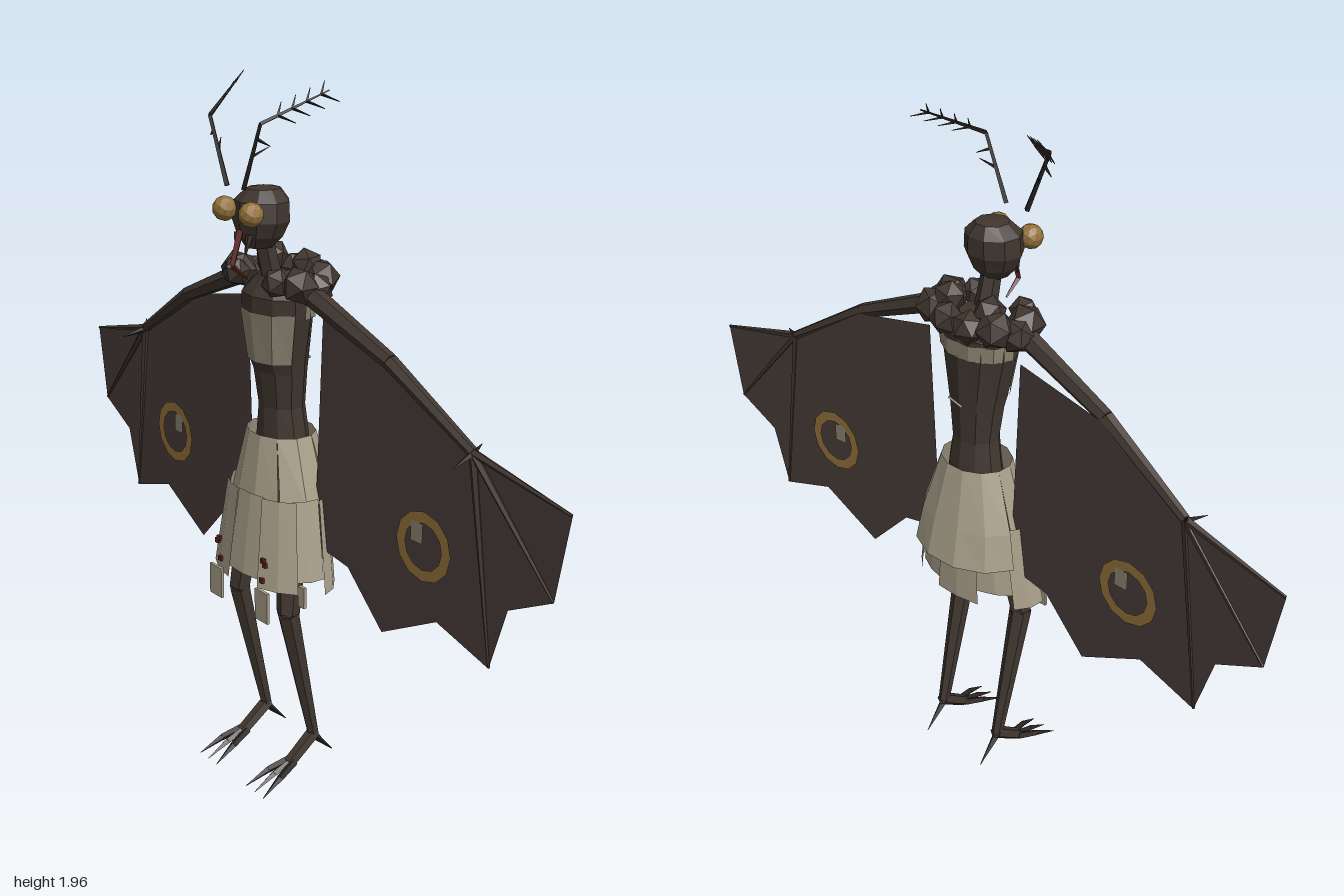
import * as THREE from 'three';

const mat = (name, color, side = THREE.FrontSide) => {
  const m = new THREE.MeshStandardMaterial({ color, flatShading: true, side });
  m.name = name;
  return m;
};
const V = (x, y, z) => new THREE.Vector3(x, y, z);
const UP = V(0, 1, 0);

export function createModel() {
  const hide = mat('dark hide', 0x40362f);
  const membrane = mat('wing membrane', 0x483d39, THREE.DoubleSide);
  const cloth = mat('ragged cloth', 0xa89f89, THREE.DoubleSide);
  const fur = mat('pale chest', 0x8b8472, THREE.DoubleSide);
  const gold = mat('gold', 0x94713a, THREE.DoubleSide);
  const claw = mat('claw', 0x2a2320);
  const red = mat('dark red', 0x5c221c, THREE.DoubleSide);

  const model = new THREE.Group();
  const add = (name, geo, material, parent = model) => {
    const m = new THREE.Mesh(geo, material);
    m.name = name;
    parent.add(m);
    return m;
  };
  const group = (name) => {
    const g = new THREE.Group();
    g.name = name;
    model.add(g);
    return g;
  };

  // Tapered rod from a to b
  const rod = (name, a, b, ra, rb, material, parent, sides = 5) => {
    const d = b.clone().sub(a);
    const m = add(name, new THREE.CylinderGeometry(rb, ra, d.length(), sides), material, parent);
    m.position.copy(a).addScaledVector(d, 0.5);
    m.quaternion.setFromUnitVectors(UP, d.normalize());
    return m;
  };
  // Chain of tapered rods through [x, y, z, radius] points, mirrored by s
  const limb = (name, pts, s, material, parent, sides) => {
    for (let i = 0; i + 1 < pts.length; i++) {
      const [a, b] = [pts[i], pts[i + 1]];
      rod(name, V(a[0] * s, a[1], a[2]), V(b[0] * s, b[1], b[2]), a[3], b[3], material, parent, sides);
    }
  };
  // Surface through elliptical rings [y, rx, zCentre, rz], listed top to bottom
  const loft = (rings, sides, a0 = 0, a1 = 360) => {
    const pos = [], idx = [], w = sides + 1;
    rings.forEach(([y, rx, zc, rz]) => {
      for (let j = 0; j <= sides; j++) {
        const a = THREE.MathUtils.degToRad(a0 + (a1 - a0) * j / sides);
        pos.push(Math.sin(a) * rx, y, zc + Math.cos(a) * rz);
      }
    });
    for (let i = 0; i + 1 < rings.length; i++) {
      for (let j = 0; j < sides; j++) {
        const p = i * w + j;
        idx.push(p, p + w, p + w + 1, p, p + w + 1, p + 1);
      }
    }
    const g = new THREE.BufferGeometry();
    g.setAttribute('position', new THREE.Float32BufferAttribute(pos, 3));
    g.setIndex(idx);
    g.computeVertexNormals();
    return g;
  };

  // Torso, running down into the hips under the skirt
  add('torso', loft([[1.47, 0, 0, 0], [1.46, 0.06, 0, 0.05], [1.41, 0.115, 0, 0.085], [1.36, 0.112, 0, 0.085],
    [1.23, 0.085, -0.005, 0.076], [1.2, 0.08, -0.01, 0.068], [1.1, 0.068, -0.015, 0.06],
    [1.02, 0.08, -0.018, 0.066], [0.85, 0.11, -0.01, 0.075], [0.68, 0.1, 0, 0.06], [0.66, 0, 0, 0]], 10), hide);
  add('chestPatch', loft([[1.37, 0.116, 0, 0.09], [1.23, 0.09, -0.005, 0.081]], 4, -72, 72), fur);
  add('backBand', loft([[1.4, 0.12, 0, 0.09], [1.355, 0.116, 0, 0.089]], 5, 90, 270), fur);
  rod('backScar', V(0.035, 1.225, -0.083), V(-0.015, 1.215, -0.086), 0.004, 0.004, cloth, model, 4);

  // Fluffy ruff round the shoulders
  const ruff = group('ruff');
  const tufts = [[0.13, 1.455, 0.03, 0.052], [0.085, 1.46, 0.072, 0.04], [0.14, 1.44, -0.015, 0.048],
    [0.105, 1.46, -0.06, 0.052], [0.04, 1.455, -0.085, 0.046], [0.07, 1.49, -0.04, 0.045]];
  for (const s of [-1, 1]) {
    tufts.forEach(([x, y, z, r], i) => {
      const t = add('tuft', new THREE.IcosahedronGeometry(r, 0), hide, ruff);
      t.position.set(x * s, y, z);
      t.rotation.set(i, s * i * 0.7, i * 0.4);
    });
  }

  // Head, eyes, proboscis
  rod('neck', V(0, 1.42, 0.01), V(0, 1.58, 0.05), 0.032, 0.026, hide, model, 6);
  add('head', loft([[1.698, 0, 0.045, 0], [1.69, 0.045, 0.045, 0.045], [1.66, 0.078, 0.05, 0.07],
    [1.61, 0.082, 0.052, 0.073], [1.57, 0.062, 0.055, 0.06], [1.54, 0.034, 0.06, 0.038], [1.535, 0, 0.06, 0]], 9), hide);
  limb('proboscis', [[0, 1.59, 0.12, 0.011], [0, 1.5, 0.147, 0.008], [0, 1.46, 0.1, 0.003]], 1, red, model, 4);
  for (const s of [-1, 1]) {
    const eye = add('eye', new THREE.IcosahedronGeometry(0.033, 1), gold);
    eye.position.set(0.056 * s, 1.638, 0.128);
    limb('mouthFeeler', [[0.025, 1.58, 0.11, 0.01], [0.02, 1.53, 0.12, 0.003]], s, hide, model, 4);
  }

  // Feathered antennae
  const antennae = group('antennae');
  for (const s of [-1, 1]) {
    const stem = [[0.035, 1.7, 0.135, 0.008], [0.085, 1.82, 0.135, 0.006], [0.105, 1.868, 0.135, 0.006], [0.185, 1.945, -0.015, 0.002]];
    limb('antennaStem', stem, s, claw, antennae, 4);
    limb('antennaSpur', [[0.07, 1.785, 0.135, 0.005], [0.1, 1.81, 0.105, 0.001]], s, claw, antennae, 4);
    limb('antennaSpur', [[0.09, 1.83, 0.135, 0.005], [0.125, 1.815, 0.12, 0.001]], s, claw, antennae, 4);
    for (let i = 0; i < 4; i++) {
      const t = 0.25 + i * 0.21, x = 0.105 + 0.08 * t, y = 1.868 + 0.077 * t, z = 0.135 - 0.15 * t;
      limb('antennaBarb', [[x, y, z, 0.004], [x + 0.045, y - 0.015, z - 0.02, 0.001]], s, claw, antennae, 4);
      limb('antennaBarb', [[x, y, z, 0.004], [x - 0.012, y + 0.03, z - 0.02, 0.001]], s, claw, antennae, 4);
    }
  }

  // Wings: a flat scalloped membrane swept back along z
  const outline = [[0.16, 1.37], [0.435, 1.315], [0.7, 1.15], [1, 1.088], [0.965, 0.86], [0.83, 0.79],
    [0.78, 0.613], [0.6, 0.67], [0.405, 0.565], [0.27, 0.705], [0.135, 0.73]];
  const sweep = (geo, offset = 0) => {
    const p = geo.attributes.position;
    for (let i = 0; i < p.count; i++) p.setZ(i, -0.018 - 0.033 * Math.abs(p.getX(i)) + offset);
    geo.computeVertexNormals();
    return geo;
  };
  for (const s of [-1, 1]) {
    const wing = group(s > 0 ? 'leftWing' : 'rightWing');
    add('membrane', sweep(new THREE.ShapeGeometry(new THREE.Shape(outline.map(([x, y]) => new THREE.Vector2(x * s, y))))), membrane, wing);
    for (const side of [-1, 1]) {
      add('eyespotRing', sweep(new THREE.RingGeometry(0.064, 0.095, 12).translate(0.548 * s, 0.86, 0), side * 0.004), gold, wing);
      add('eyespotGlint', sweep(new THREE.PlaneGeometry(0.042, 0.055).translate(0.525 * s, 0.893, 0), side * 0.005), fur, wing);
    }
    limb('arm', [[0.12, 1.445, 0.01, 0.03], [0.43, 1.318, -0.012, 0.021], [0.7, 1.155, -0.036, 0.014]], s, hide, wing, 6);
    for (const [x, y] of [[0.998, 1.088], [0.963, 0.862], [0.78, 0.616]]) {
      limb('wingFinger', [[0.7, 1.155, -0.036, 0.011], [x, y, -0.018 - 0.033 * x, 0.004]], s, hide, wing, 5);
    }
    limb('thumbClaw', [[0.7, 1.15, -0.03, 0.009], [0.712, 1.135, 0.04, 0.001]], s, claw, wing, 4);
    limb('wristSpur', [[0.7, 1.15, -0.036, 0.009], [0.715, 1.178, -0.05, 0.001]], s, claw, wing, 4);
  }

  // Skirt: overlapping upper panels above a ragged lower layer
  const skirt = group('skirt');
  const waist = [1.03, 0.105, -0.013, 0.088];
  add('frontPanel', loft([waist, [0.86, 0.155, -0.01, 0.112], [0.78, 0.17, -0.01, 0.125]], 3, -50, 40), cloth, skirt);
  add('backPanel', loft([waist, [0.86, 0.165, -0.02, 0.122], [0.755, 0.185, -0.02, 0.146]], 5, 105, 255), cloth, skirt);
  for (const s of [-1, 1]) {
    const [a0, a1] = s > 0 ? [40, 105] : [255, 310];
    add('sidePanel', loft([waist, [0.85, 0.162, -0.015, 0.115]], 2, a0, a1), cloth, skirt);
  }
  const hems = [0.64, 0.62, 0.65, 0.61, 0.64, 0.62, 0.66, 0.62, 0.65, 0.61];
  hems.forEach((y, i) => {
    const k = 0.94 + 0.06 * (i % 2), a = i * 36 - 14;
    add('lowerPanel', loft([[0.87, 0.172 * k, 0, 0.112 * k], [y, 0.214 * k, 0.012, 0.132 * k]], 2, a, a + 39), cloth, skirt);
  });

  for (const s of [-1, 1]) {
    // Hanging scraps and stains
    const scrap = (x, y, z, w, h) => add('scrap', new THREE.BoxGeometry(w, h, 0.009), cloth, skirt).position.set(x * s, y, z);
    scrap(0.105, 0.575, 0.135, 0.055, 0.09);
    scrap(0.185, 0.61, 0.06, 0.025, 0.06);
    for (const [x, y] of [[0.1, 0.705], [0.108, 0.695], [0.094, 0.645]]) {
      add('stain', new THREE.BoxGeometry(0.014, 0.014, 0.009), red, skirt).position.set(x * s, y, 0.128);
    }

    // Legs with three long toes and a heel spur
    const leg = group(s > 0 ? 'leftLeg' : 'rightLeg');
    limb('legSegment', [[0.09, 0.76, 0.02, 0.045], [0.112, 0.53, 0.05, 0.032], [0.11, 0.115, -0.045, 0.017]], s, hide, leg, 6);
    const knee = add('knee', new THREE.IcosahedronGeometry(0.031, 0), hide, leg);
    knee.position.set(0.112 * s, 0.53, 0.048);
    limb('foot', [[0.11, 0.12, -0.05, 0.02], [0.112, 0.05, 0.045, 0.018]], s, hide, leg, 5);
    for (const dx of [-0.035, 0, 0.035]) {
      limb('toe', [[0.112 + dx * 0.3, 0.055, 0.035, 0.012], [0.112 + dx * 0.8, 0.035, 0.1, 0.01], [0.112 + dx * 1.15, 0.003, 0.17, 0.001]], s, claw, leg, 4);
    }
    limb('heelSpur', [[0.11, 0.115, -0.04, 0.013], [0.11, 0.035, -0.118, 0.001]], s, claw, leg, 4);
  }
  return model;
}
